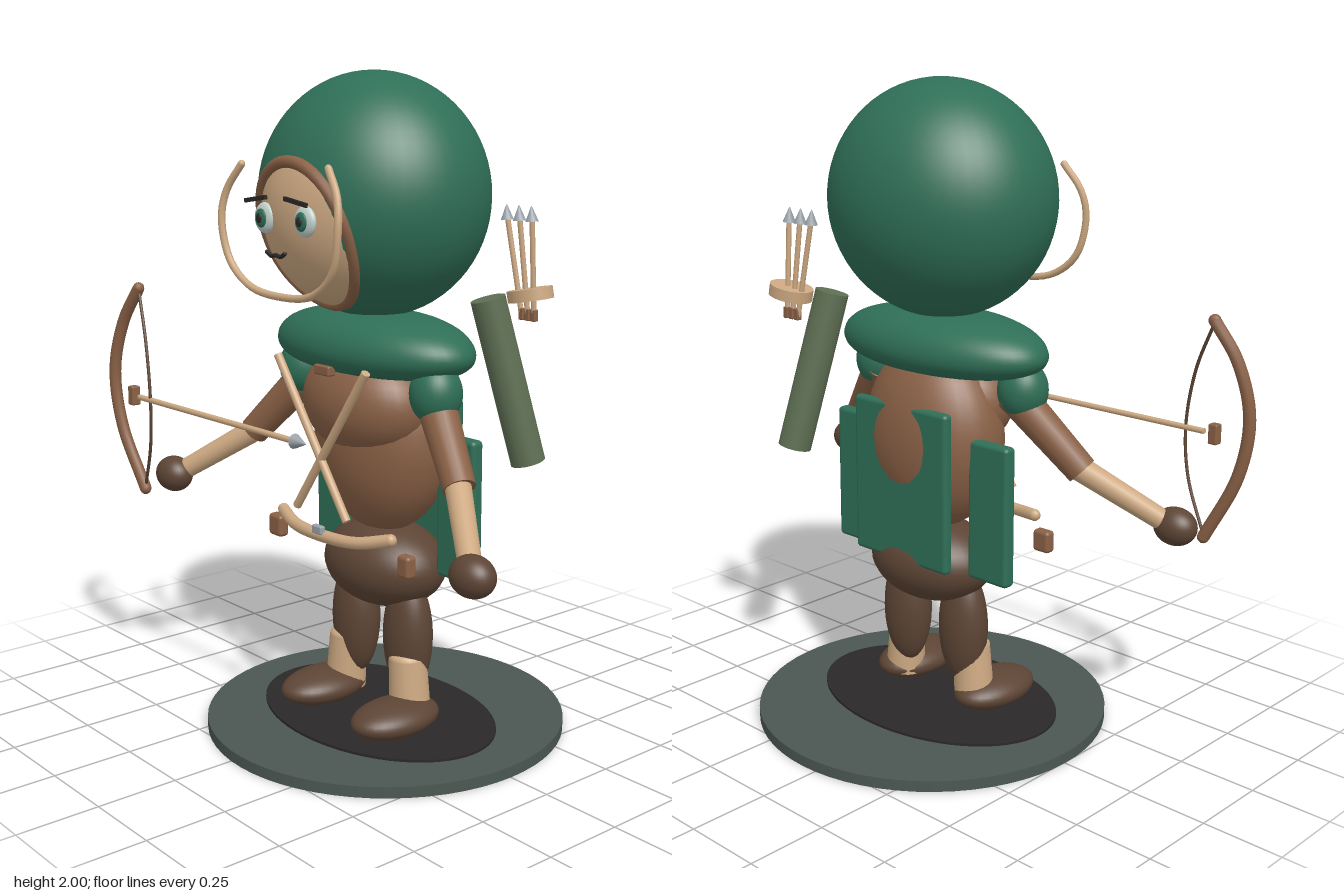
import * as THREE from 'three';
import { RoundedBoxGeometry } from 'three/addons/geometries/RoundedBoxGeometry.js';

const CX = 0.053; // the figure's centre line

function material(name, color) {
  const m = new THREE.MeshStandardMaterial({ color });
  m.name = name;
  return m;
}

export function createModel() {
  const model = new THREE.Group();
  model.name = 'hoodedArcher';
  const green = material('forest green', 0x2f6f57);
  const skin = material('tan', 0xcda982);
  const brown = material('leather brown', 0x8a6146);
  const dark = material('dark brown', 0x5d4535);
  const olive = material('olive', 0x5f7054);
  const slate = material('slate', 0x4b5752);
  const black = material('black', 0x2a2828);
  const silver = material('silver', 0x9aa3aa);
  const white = material('eye white', 0xc3d2cd);

  const V = (p) => new THREE.Vector3(...p);
  function add(name, geometry, mat, pos = [0, 0, 0], rot = [0, 0, 0]) {
    const mesh = new THREE.Mesh(geometry, mat);
    mesh.name = name;
    mesh.position.set(...pos);
    mesh.rotation.set(...rot);
    model.add(mesh);
    return mesh;
  }
  function ball(name, mat, pos, radii, detail = 32) {
    const g = new THREE.SphereGeometry(1, detail, Math.round(detail * 0.7));
    return add(name, g.scale(...radii), mat, pos);
  }
  function rod(name, mat, a, b, rA, rB = rA, sides = 20) {
    const from = V(a), to = V(b), dir = to.clone().sub(from);
    const mesh = add(name, new THREE.CylinderGeometry(rB, rA, dir.length(), sides), mat);
    mesh.position.copy(from).add(to).multiplyScalar(0.5);
    mesh.quaternion.setFromUnitVectors(new THREE.Vector3(0, 1, 0), dir.normalize());
    return mesh;
  }
  function tube(name, mat, pts, r, closed = false) {
    const curve = new THREE.CatmullRomCurve3(pts.map(V), closed);
    add(name, new THREE.TubeGeometry(curve, 48, r, 10, closed), mat);
    if (!closed) for (const p of [pts[0], pts[pts.length - 1]]) ball(name + 'End', mat, p, [r, r, r], 10);
  }
  const rbox = (name, mat, pos, size, r, rot) =>
    add(name, new RoundedBoxGeometry(...size, 3, r), mat, pos, rot);

  // Base and ground patch
  add('base', new THREE.CylinderGeometry(0.557, 0.557, 0.034, 64), slate, [CX, 0.017, 0]);
  const patch = new THREE.CylinderGeometry(1, 1, 0.008, 64).scale(0.43, 1, 0.3);
  add('groundPatch', patch, black, [CX, 0.038, 0.03]);

  // Hood and face
  const hood = { y: 1.643, z: 0.047, r: [0.368, 0.357, 0.322] };
  ball('hood', green, [CX, hood.y, hood.z], hood.r, 48);
  ball('face', skin, [CX, 1.614, 0.12], [0.282, 0.3, 0.262], 48);

  // Hair rim around the face, following the hood's surface
  const rim = [];
  for (let i = 0; i < 24; i++) {
    const a = (i / 24) * Math.PI * 2;
    const x = 0.192 * Math.cos(a), y = 1.54 + 0.207 * Math.sin(a);
    const k = 1 - (x / hood.r[0]) ** 2 - ((y - hood.y) / hood.r[1]) ** 2;
    const lift = Math.max(0, Math.sin(a)) * 0.012 - 0.01;
    rim.push([CX + x, y, hood.z + hood.r[2] * Math.sqrt(k) + lift]);
  }
  tube('hairRim', brown, rim, 0.018, true);

  // Eyes, brows and mouth
  for (const s of [-1, 1]) {
    const x = CX + s * 0.093;
    ball('eyeWhite', white, [x, 1.587, 0.372], [0.044, 0.044, 0.018], 24);
    ball('iris', green, [x, 1.587, 0.387], [0.025, 0.027, 0.008], 20);
    ball('pupil', black, [x, 1.587, 0.394], [0.012, 0.014, 0.005], 14);
    add('eyebrow', new THREE.BoxGeometry(0.1, 0.012, 0.009), black, [CX + s * 0.092, 1.642, 0.405], [0, 0, -s * 0.14]);
  }
  tube('mouth', black, [-0.042, -0.022, 0, 0.022, 0.042].map((x, i) =>
    [CX + x, 1.487 + [0.01, 0, 0.003, 0, 0.01][i], 0.405]), 0.006);

  // Cord hanging round the face
  const half = [[0.2, 1.735, 0.375], [0.255, 1.66, 0.39], [0.27, 1.58, 0.4], [0.24, 1.46, 0.395], [0.15, 1.39, 0.39]];
  tube('hoodCord', skin, [
    ...half.map(([x, y, z]) => [CX - x, y, z]), [CX, 1.37, 0.385],
    ...half.slice().reverse().map(([x, y, z]) => [CX + x, y, z])], 0.011);

  // Cape collar
  const profile = [[0, 1.12], [0.2, 1.125], [0.31, 1.14], [0.37, 1.165], [0.39, 1.2], [0.37, 1.24], [0.31, 1.275], [0.2, 1.3], [0, 1.31]];
  const collar = new THREE.LatheGeometry(new THREE.SplineCurve(profile.map((p) => new THREE.Vector2(...p))).getPoints(28), 48);
  add('collar', collar.scale(1, 1, 0.515), green, [CX, 0, 0.05]);
  rbox('clasp', brown, [CX, 1.145, 0.235], [0.07, 0.03, 0.03], 0.006);

  // Torso and hips
  ball('torso', brown, [CX, 0.92, 0.013], [0.247, 0.295, 0.176]);
  ball('chest', brown, [CX, 1.035, 0.075], [0.235, 0.17, 0.16]);
  ball('hips', dark, [CX, 0.522, 0.002], [0.22, 0.136, 0.163]);

  // Limbs, mirrored about the centre line
  for (const s of [-1, 1]) {
    const P = (x, y, z) => [CX + s * x, y, z];
    ball('sleeve', green, P(0.305, 1.1, 0.075), [0.077, 0.09, 0.077]);
    rod('upperArm', brown, P(0.28, 1.09, 0.06), P(0.48, 0.87, 0.145), 0.058, 0.047);
    rod('forearm', skin, P(0.46, 0.885, 0.135), P(0.69, 0.715, 0.3), 0.038, 0.032);
    ball('glove', dark, P(0.705, 0.71, 0.31), [0.07, 0.058, 0.056]);
    ball('thigh', dark, P(0.123, 0.315, 0.015), [0.084, 0.19, 0.07]);
    rod('shin', skin, P(0.155, 0.08, 0.033), P(0.143, 0.25, 0.033), 0.064, 0.058);
    ball('shinTop', skin, P(0.143, 0.25, 0.033), [0.058, 0.03, 0.058], 20);
    ball('boot', dark, P(0.172, 0.09, 0.108), [0.101, 0.055, 0.154]);
    rbox('sideCloakPanel', green, P(0.286, 0.737, -0.04), [0.155, 0.435, 0.045], 0.014);
    rod('chestStrap', skin, P(-0.205, 1.165, 0.25), P(0.118, 0.715, 0.25), 0.013);
  }
  rbox('backCloakPanel', green, [CX, 0.79, -0.127], [0.39, 0.5, 0.036], 0.014);

  // Belt, buckle and pouches
  tube('belt', skin, [[-0.2, 0.665, 0.2], [-0.09, 0.65, 0.238], [CX, 0.647, 0.25], [0.2, 0.655, 0.238], [0.308, 0.68, 0.2]], 0.019);
  rbox('buckle', silver, [CX, 0.668, 0.262], [0.045, 0.026, 0.02], 0.005);
  rbox('rightPouch', brown, [-0.255, 0.6, 0.18], [0.062, 0.07, 0.038], 0.012);
  rbox('leftPouch', brown, [0.355, 0.61, 0.18], [0.05, 0.068, 0.038], 0.012);

  // Quiver, its rim plate and spare arrows
  rod('quiver', olive, [0.335, 1.35, -0.148], [0.412, 0.86, -0.25], 0.052, 0.052, 28);
  add('quiverRim', new THREE.CylinderGeometry(0.073, 0.073, 0.035, 28).scale(1, 1, 0.85), skin, [0.395, 1.358, -0.262], [0.05, 0, 0.17]);
  for (let i = 0; i < 3; i++) {
    const bottom = [0.352 + i * 0.024, 1.28, -0.275], top = [0.3 + i * 0.05, 1.58, -0.258];
    rod('spareShaft', skin, bottom, top, 0.008, 0.008, 10);
    rod('spareTip', silver, [top[0], 1.57, top[2]], [top[0] - 0.004, 1.615, top[2]], 0.02, 0.001, 12);
    rbox('spareFletching', brown, [bottom[0], 1.295, bottom[2]], [0.018, 0.035, 0.018], 0.003);
  }

  // Bow, string and the drawn arrow
  tube('bow', brown, [[-0.7, 1.325, 0.395], [-0.775, 1.21, 0.41], [-0.815, 1.05, 0.423], [-0.79, 0.87, 0.418], [-0.695, 0.665, 0.395]], 0.019);
  tube('bowString', dark, [[-0.7, 1.32, 0.395], [-0.625, 1.16, 0.42], [-0.592, 0.98, 0.43], [-0.615, 0.83, 0.42], [-0.695, 0.67, 0.395]], 0.005);
  rod('arrowShaft', skin, [-0.66, 0.98, 0.428], [0.175, 0.98, 0.428], 0.009, 0.009, 12);
  rod('arrowTip', silver, [0.16, 0.98, 0.428], [0.212, 0.98, 0.428], 0.022, 0.001, 14);
  rbox('arrowFletching', brown, [-0.698, 0.98, 0.425], [0.03, 0.062, 0.03], 0.005);

  return model;
}
